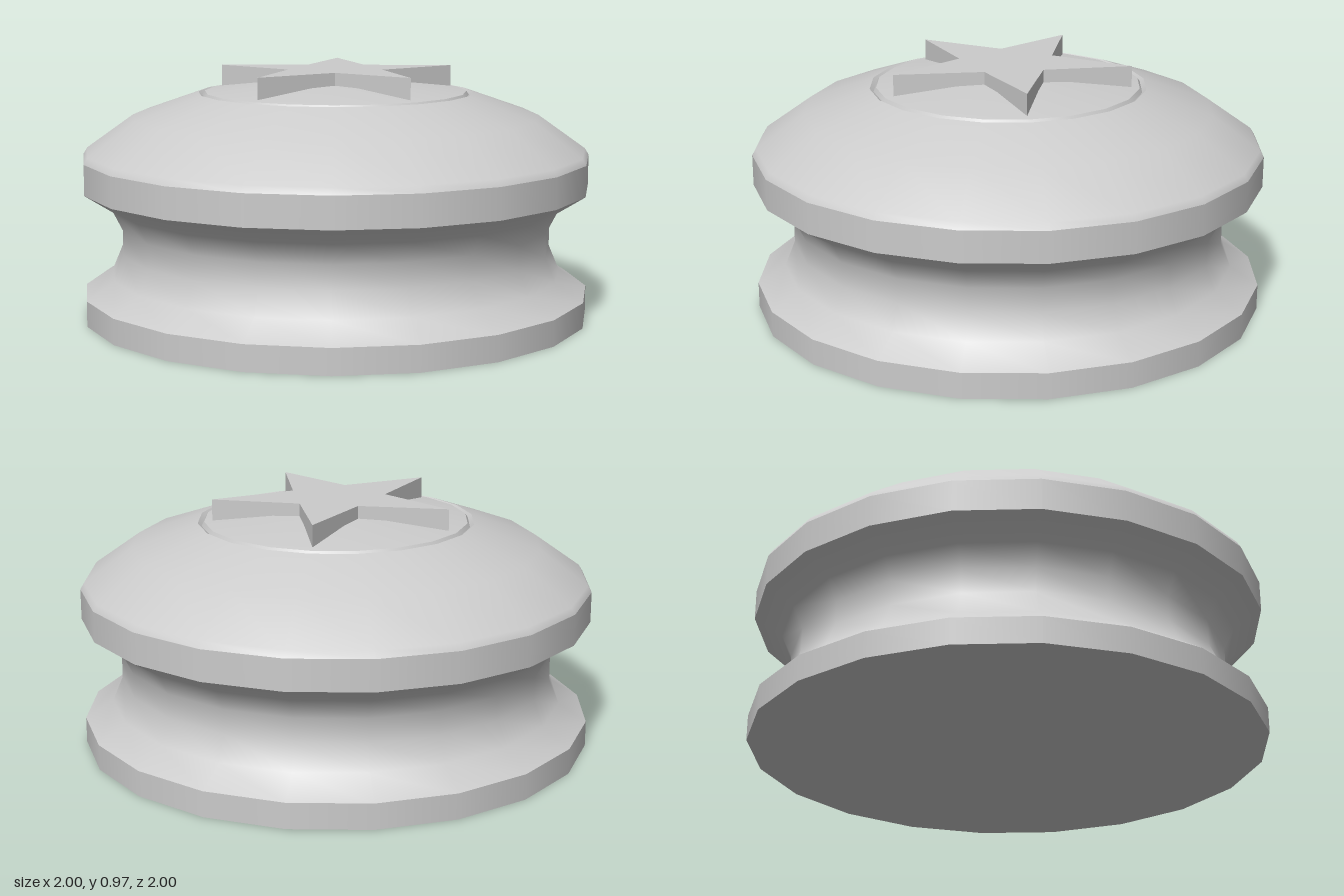
import * as THREE from 'three';

const SIDES = 20;

export function createModel() {
  const group = new THREE.Group();
  const material = new THREE.MeshStandardMaterial({ color: 0xcccccc });

  const add = (name, geometry) => {
    const mesh = new THREE.Mesh(geometry, material);
    mesh.name = name;
    group.add(mesh);
  };

  // Each band is smooth within itself; the borders between bands stay sharp.
  // Profiles run from bottom to top as [radius, height].
  const bands = {
    baseUnderside: [[0, 0], [1, 0]],
    baseRim: [[1, 0], [1, 0.1]],
    waist: [[1, 0.1], [0.89, 0.17], [0.85, 0.265], [0.85, 0.36], [0.89, 0.44], [1, 0.51]],
    capRim: [[1, 0.51], [1, 0.63]],
    capDome: [[1, 0.63], [0.985, 0.655], [0.8, 0.787], [0.54, 0.878]],
    grooveOuter: [[0.54, 0.878], [0.525, 0.866]],
    grooveInner: [[0.525, 0.866], [0.515, 0.882]],
    capCentre: [[0.515, 0.882], [0.27, 0.917], [0, 0.93]],
  };
  for (const [name, profile] of Object.entries(bands)) {
    add(name, new THREE.LatheGeometry(profile.map(([r, y]) => new THREE.Vector2(r, y)), SIDES));
  }

  // Raised five-pointed star, one tip towards -x
  const star = new THREE.Shape();
  for (let i = 0; i < 10; i++) {
    const angle = Math.PI + (i * Math.PI) / 5;
    const radius = i % 2 ? 0.193 : 0.483;
    star[i ? 'lineTo' : 'moveTo'](radius * Math.cos(angle), radius * Math.sin(angle));
  }
  star.closePath();
  const starGeometry = new THREE.ExtrudeGeometry(star, { depth: 0.085, bevelEnabled: false });
  starGeometry.rotateX(-Math.PI / 2).translate(0, 0.885, 0);
  add('star', starGeometry);

  return group;
}
